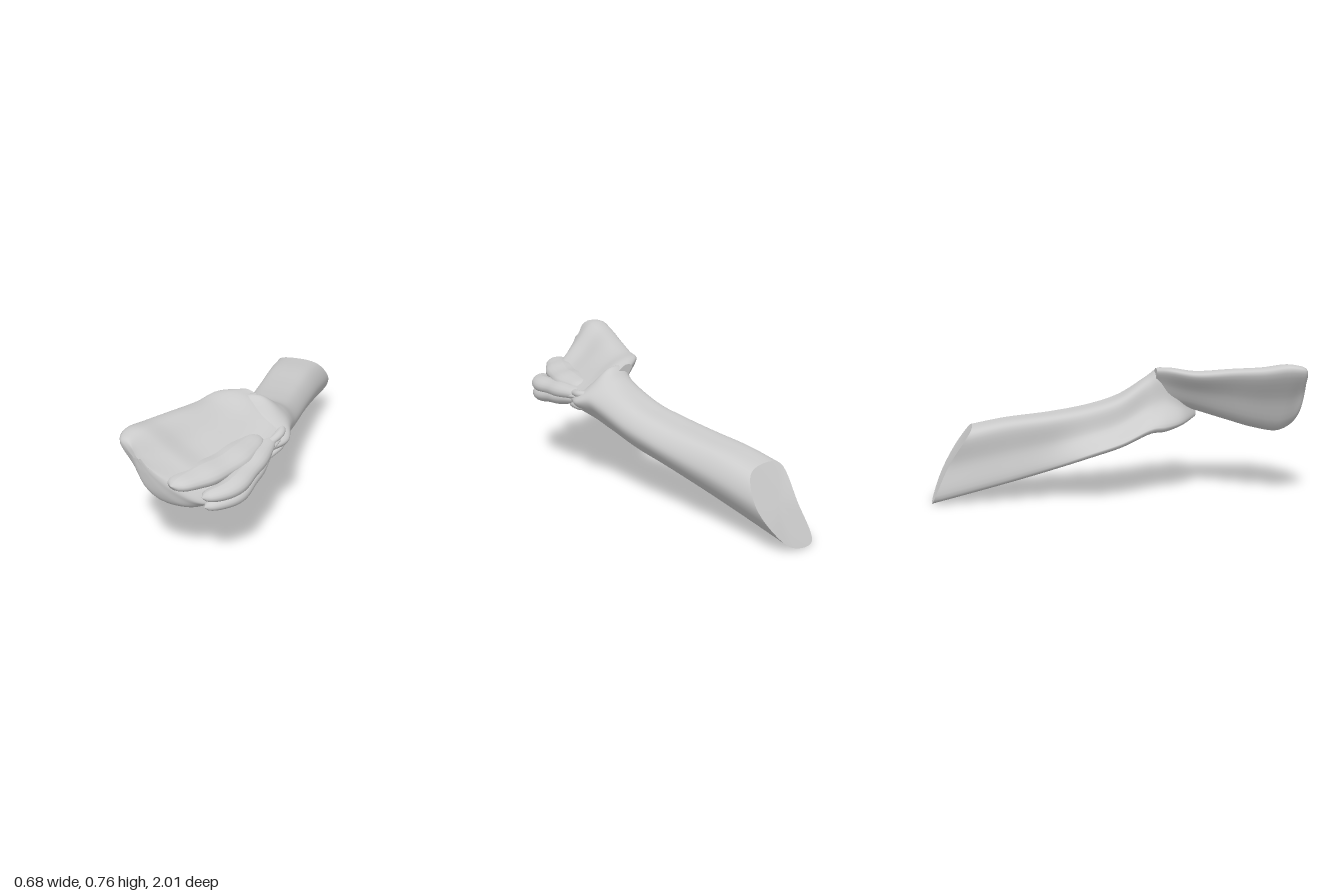
import * as THREE from 'three';

const V = (x, y, z) => new THREE.Vector3(x, y, z);
const mix = THREE.MathUtils.lerp;
const RING = 56;

// Smooth skin through closed cross-sections listed from back to front
function loft(sections, steps) {
  const rings = sections.map(s => {
    const c = new THREE.CatmullRomCurve3(s, true, 'centripetal');
    return Array.from({ length: RING }, (_, j) => c.getPoint(j / RING));
  });
  const pos = [], idx = [];
  const lines = rings[0].map((_, j) => new THREE.CatmullRomCurve3(rings.map(r => r[j]), false, 'centripetal'));
  for (let i = 0; i <= steps; i++) {
    for (let j = 0; j < RING; j++) pos.push(...lines[j].getPoint(i / steps).toArray());
  }
  for (let i = 0; i < steps; i++) {
    for (let j = 0; j < RING; j++) {
      const a = i * RING + j, b = i * RING + (j + 1) % RING;
      idx.push(a, a + RING, b, b, a + RING, b + RING);
    }
  }
  // End caps have their own vertices so their rims stay sharp
  [rings[0], rings[rings.length - 1]].forEach((r, end) => {
    const base = pos.length / 3;
    const mid = r.reduce((m, p) => m.add(p), V(0, 0, 0)).divideScalar(RING);
    pos.push(...mid.toArray());
    r.forEach(p => pos.push(...p.toArray()));
    for (let j = 0; j < RING; j++) {
      const a = base + 1 + j, b = base + 1 + (j + 1) % RING;
      idx.push(base, end ? b : a, end ? a : b);
    }
  });
  const g = new THREE.BufferGeometry();
  g.setAttribute('position', new THREE.Float32BufferAttribute(pos, 3));
  g.setIndex(idx);
  g.computeVertexNormals();
  return g;
}

// Forearm section: flat inner wall, round outer side, flared inner bottom corner, outer shoulder may drop
function armSection([z, inner, flare, outer, top, bottom, drop]) {
  const h = top - bottom, x = t => mix(inner, outer, t);
  return [
    V(inner, top - 0.06 * h, z), V(x(0.4), top, z), V(x(0.8), top - 0.06 * h - drop, z),
    V(outer, top - 0.36 * h - 0.5 * drop, z), V(x(0.84), top - 0.68 * h, z), V(x(0.45), bottom + 0.05 * h, z),
    V(flare, bottom + 0.01 * h + 0.3 * (inner - flare), z), V(mix(inner, flare, 0.25), top - 0.5 * h, z),
  ];
}

// Hand section: raised thumb lobe on one edge, sloping palm, thin outer edge, rounded underside
function handSection([z, left, top, right, edge, low, bottom, sag]) {
  const L = V(left, top - 0.015, z), R = V(right, edge, z), B = V(low, bottom, z);
  const crest = V(mix(left, right, 0.17), top, z);
  const heel = V(mix(low, left, 0.4), bottom + 0.02, z);
  const palm = (t, dy) => crest.clone().lerp(R, t).add(V(0, dy, 0));
  return [
    L, crest, palm(0.33, -sag), palm(0.65, -0.7 * sag), palm(0.88, 0.015),
    R, R.clone().lerp(B, 0.4), B, heel, heel.clone().lerp(L, 0.5),
  ];
}

// Rounded finger: a tube whose radius closes at both ends and swells at the joints
function finger(points, radius, flat) {
  const curve = new THREE.CatmullRomCurve3(points.map(p => V(...p)));
  const N = 40, S = 18;
  const g = new THREE.TubeGeometry(curve, N, 1, S);
  const p = g.attributes.position, v = V(0, 0, 0);
  for (let i = 0; i <= N; i++) {
    const t = i / N, c = curve.getPointAt(t);
    const r = radius * Math.sqrt(Math.max(0, 1 - Math.abs(2 * t - 1) ** 3.5)) * (1 + 0.04 * Math.cos(t * 19));
    for (let j = 0; j <= S; j++) {
      const k = i * (S + 1) + j;
      v.fromBufferAttribute(p, k).sub(c).multiplyScalar(r);
      v.y *= flat;
      v.add(c);
      p.setXYZ(k, v.x, v.y, v.z);
    }
  }
  g.computeVertexNormals();
  return g;
}

export function createModel() {
  const group = new THREE.Group();
  const skin = new THREE.MeshStandardMaterial({ color: 0xcccccc, side: THREE.DoubleSide });
  const add = (name, geometry) => {
    const m = new THREE.Mesh(geometry, skin);
    m.name = name;
    group.add(m);
  };

  // Forearm rows: z, inner x, flare x, outer x, top y, bottom y, shoulder drop
  const arm = [
    [-1, -0.03, -0.05, 0.25, 0.405, 0, 0],
    [-0.6, -0.025, -0.042, 0.25, 0.435, 0.1, 0],
    [-0.35, -0.015, -0.055, 0.255, 0.46, 0.165, 0],
    [-0.15, 0, -0.15, 0.268, 0.49, 0.22, 0],
    [0.02, 0.03, -0.13, 0.282, 0.535, 0.265, 0],
    [0.19, 0.07, -0.08, 0.308, 0.64, 0.33, 0.03],
    [0.27, 0.05, -0.06, 0.32, 0.69, 0.345, 0.06],
    [0.36, 0.02, -0.02, 0.335, 0.61, 0.385, 0.03],
    [0.45, 0.06, 0.06, 0.28, 0.55, 0.43, 0.01],
  ].map(armSection);
  // Slanted cut at the back end
  arm[0].forEach(p => { p.z += 0.22 * (p.y / 0.4) ** 1.3; });
  add('forearm', loft(arm, 72));

  // Palm rows: z, left x, top y, right x, right y, bottom x, bottom y, sag
  add('palmAndThumb', loft([
    [0.23, 0.03, 0.7, 0.28, 0.54, 0.17, 0.54, -0.02],
    [0.3, -0.07, 0.71, 0.315, 0.54, 0.14, 0.5, -0.03],
    [0.42, -0.14, 0.7, 0.3, 0.52, 0.1, 0.47, -0.02],
    [0.6, -0.225, 0.72, 0.26, 0.48, 0.05, 0.42, -0.005],
    [0.75, -0.3, 0.735, 0.23, 0.45, 0.02, 0.38, 0.01],
    [0.87, -0.34, 0.755, 0.18, 0.43, 0, 0.365, 0],
    [0.93, -0.342, 0.75, 0.06, 0.43, -0.03, 0.395, -0.01],
    [0.965, -0.328, 0.74, -0.06, 0.49, -0.11, 0.46, -0.01],
    [0.983, -0.29, 0.72, -0.17, 0.58, -0.19, 0.57, 0],
    [0.988, -0.255, 0.675, -0.215, 0.64, -0.225, 0.64, 0],
  ].map(handSection), 72));

  // Curled fingers stacked along the outer edge of the palm
  add('indexFinger', finger([[-0.07, 0.54, 0.998], [0, 0.53, 0.87], [0.1, 0.53, 0.69], [0.19, 0.55, 0.42]], 0.1, 0.5));
  add('middleFinger', finger([[0.07, 0.475, 0.955], [0.17, 0.48, 0.84], [0.215, 0.5, 0.65], [0.25, 0.53, 0.38]], 0.064, 0.7));
  add('ringFinger', finger([[0.08, 0.42, 0.95], [0.19, 0.43, 0.82], [0.225, 0.46, 0.65], [0.25, 0.5, 0.42]], 0.052, 0.8));

  // Skin folds on the outer side of the wrist
  for (let i = 0; i < 3; i++) {
    const y = 0.47 + i * 0.035;
    add('wristFold', finger([[0.18, y - 0.03, 0.56], [0.25, y - 0.01, 0.46], [0.29, y + 0.01, 0.36], [0.26, y + 0.02, 0.26]], 0.024, 0.8));
  }
  return group;
}
